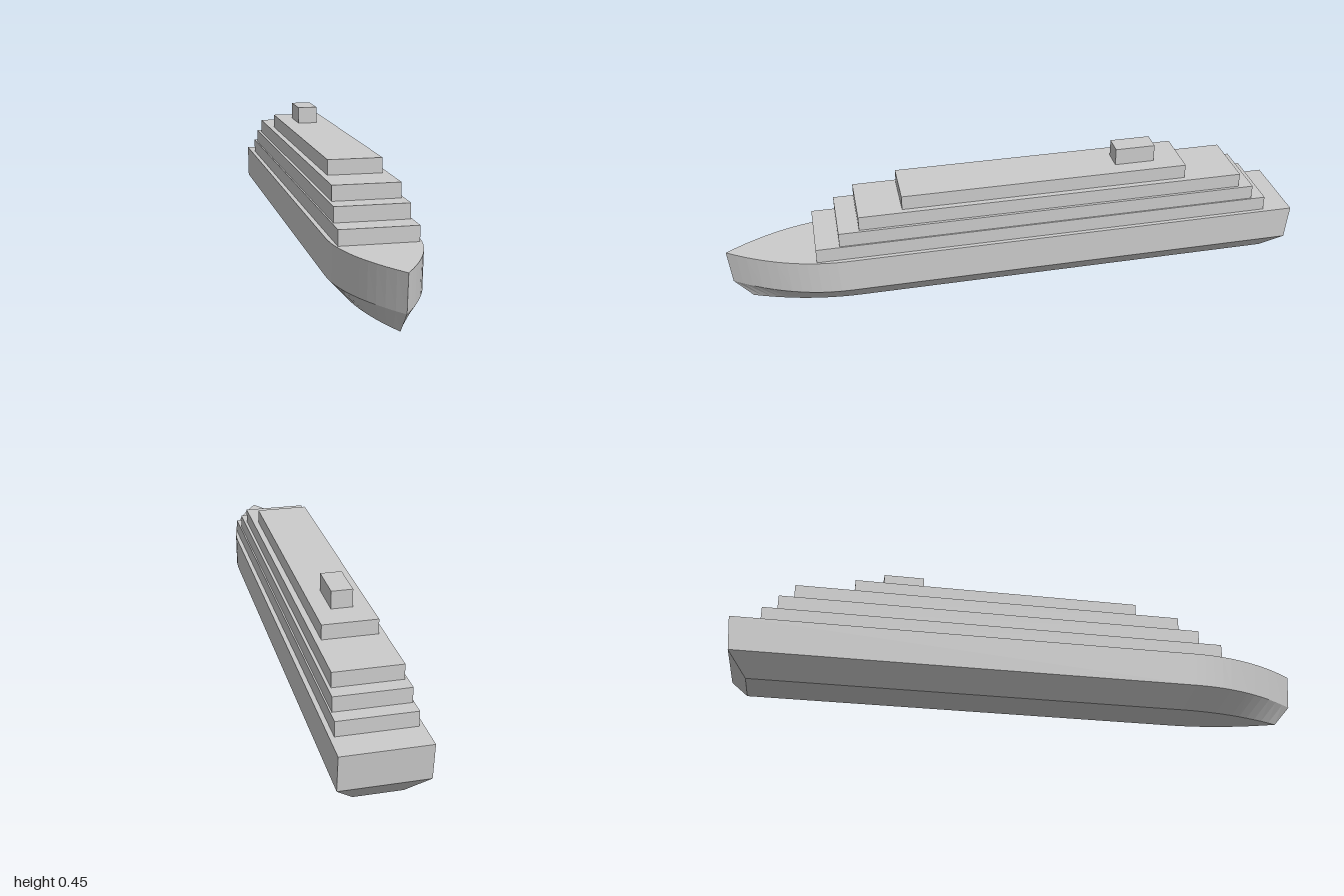
import * as THREE from 'three';

const BOW_STEPS = 12;

// Half outline of the hull from stern to bow tip, as [x, z]
function halfOutline(halfWidth, halfLength) {
  const curve = new THREE.QuadraticBezierCurve(
    new THREE.Vector2(halfWidth, halfLength * 0.6),
    new THREE.Vector2(halfWidth, halfLength * 0.8),
    new THREE.Vector2(0, halfLength)
  );
  return [[halfWidth, -halfLength], ...curve.getPoints(BOW_STEPS).map((p) => [p.x, p.y])];
}

// Closed ring at height y, mirrored across the centre line
function ring(y, halfWidth, halfLength) {
  const half = halfOutline(halfWidth, halfLength);
  const mirrored = half.slice(0, -1).reverse().map(([x, z]) => [-x, z]);
  return [...half, ...mirrored].map(([x, z]) => [x, y, z]);
}

// Skin between rings, closed by a flat bottom and deck
function hullGeometry(rings) {
  const pos = [];
  const tri = (a, b, c) => pos.push(...a, ...b, ...c);
  const n = rings[0].length;
  for (let r = 0; r < rings.length - 1; r++) {
    const lo = rings[r], hi = rings[r + 1];
    for (let i = 0; i < n; i++) {
      const j = (i + 1) % n;
      tri(lo[i], hi[i], hi[j]);
      tri(lo[i], hi[j], lo[j]);
    }
  }
  const bottom = rings[0], deck = rings[rings.length - 1];
  for (let i = 1; i < n - 1; i++) {
    tri(bottom[0], bottom[i], bottom[i + 1]);
    tri(deck[0], deck[i + 1], deck[i]);
  }
  const geo = new THREE.BufferGeometry();
  geo.setAttribute('position', new THREE.Float32BufferAttribute(pos, 3));
  geo.computeVertexNormals();
  return geo;
}

export function createModel() {
  const group = new THREE.Group();
  group.name = 'ship';
  const grey = new THREE.MeshStandardMaterial({ color: 0xcccccc });
  grey.name = 'light grey';
  grey.flatShading = true;

  // Hull: narrow keel, chine, deck edge
  const hull = new THREE.Mesh(
    hullGeometry([ring(0, 0.077, 0.93), ring(0.07, 0.14, 0.99), ring(0.19, 0.14, 1)]),
    grey
  );
  hull.name = 'hull';
  group.add(hull);

  // Stepped decks and funnel: name, bottom, top, half width, back z, front z
  const blocks = [
    ['lowerDeck', 0.19, 0.24, 0.125, -0.9, 0.7],
    ['middleDeck', 0.24, 0.29, 0.12, -0.85, 0.62],
    ['upperDeck', 0.29, 0.34, 0.11, -0.8, 0.55],
    ['topDeck', 0.34, 0.39, 0.09, -0.6, 0.4],
    ['funnel', 0.39, 0.45, 0.035, -0.5, -0.36],
  ];
  for (const [name, y0, y1, halfWidth, z0, z1] of blocks) {
    const block = new THREE.Mesh(new THREE.BoxGeometry(halfWidth * 2, y1 - y0, z1 - z0), grey);
    block.position.set(0, (y0 + y1) / 2, (z0 + z1) / 2);
    block.name = name;
    group.add(block);
  }
  return group;
}
